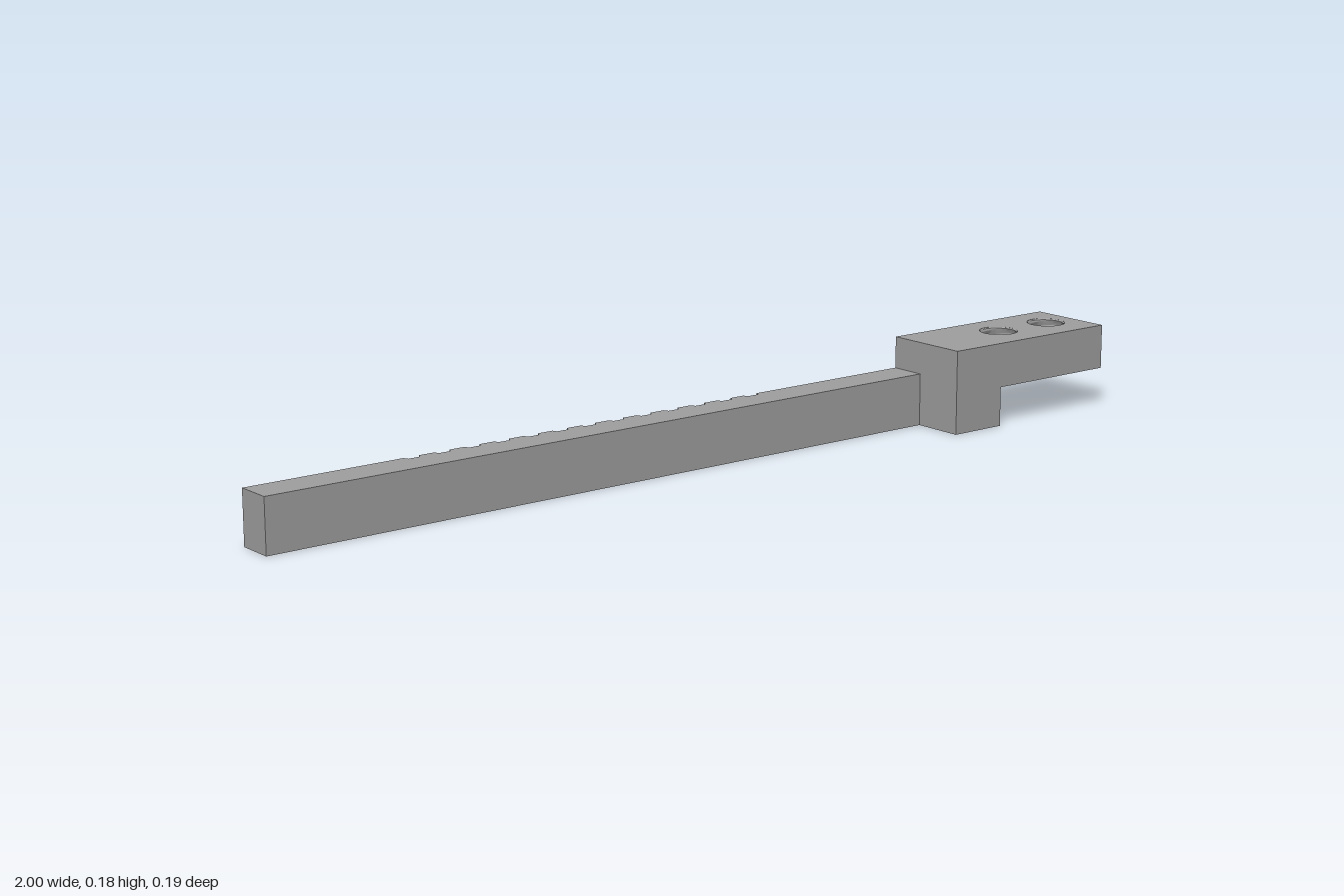
import * as THREE from 'three';
import { toCreasedNormals } from 'three/addons/utils/BufferGeometryUtils.js';

const BACK = -0.094, FRONT = 0.094;
const HEAD_X = 0.573, HEAD_BOTTOM = 0.083, HEAD_TOP = 0.177;
const HOLE_R = 0.04, THREAD_R = 0.036, HOLE_Z = -0.003;
const HOLES_X = [0.785, 0.927];

// Extrude a plan drawn in (x, -z) upwards from y0 to y1
function extrudeUp(shape, y0, y1) {
  const g = new THREE.ExtrudeGeometry(shape, { depth: y1 - y0, bevelEnabled: false, curveSegments: 32 });
  return g.rotateX(-Math.PI / 2).translate(0, y0, 0);
}

// Inward-facing bore wall with a helical thread
function threadedBore() {
  const height = HEAD_TOP - HEAD_BOTTOM, turns = 4;
  const g = new THREE.CylinderGeometry(1, 1, height, 48, 48, true);
  const p = g.attributes.position;
  for (let i = 0; i < p.count; i++) {
    const x = p.getX(i), y = p.getY(i), z = p.getZ(i);
    const t = y / height + 0.5;
    const phase = t * turns + Math.atan2(z, x) / (2 * Math.PI);
    const ridge = Math.abs(2 * (phase - Math.floor(phase)) - 1);
    const atRim = t < 0.001 || t > 0.999;
    const r = atRim ? HOLE_R : THREAD_R + (HOLE_R - THREAD_R) * ridge;
    p.setXYZ(i, -x * r, y, z * r); // mirrored so the wall faces inwards
  }
  return toCreasedNormals(g, 0.5);
}

export function createModel() {
  const group = new THREE.Group();
  const metal = new THREE.MeshStandardMaterial({ color: 0xa0a0a0 });
  metal.name = 'grey metal';
  const add = (name, geometry) => {
    const mesh = new THREE.Mesh(geometry, metal);
    mesh.name = name;
    group.add(mesh);
    return mesh;
  };

  // Long bar with a row of notches along its back edge
  const bar = new THREE.Shape();
  bar.moveTo(-1, 0.017);
  bar.lineTo(HEAD_X, 0.017);
  bar.lineTo(HEAD_X, -BACK);
  for (let i = 0; i < 13; i++) {
    const x = 0.174 - i * 0.068;
    bar.lineTo(x + 0.017, -BACK);
    bar.lineTo(x + 0.013, -BACK - 0.01);
    bar.lineTo(x - 0.013, -BACK - 0.01);
    bar.lineTo(x - 0.017, -BACK);
  }
  bar.lineTo(-1, -BACK);
  bar.closePath();
  add('notchedBar', extrudeUp(bar, 0, 0.11));

  // Raised head plate with two holes
  const plate = new THREE.Shape();
  plate.moveTo(HEAD_X, -FRONT);
  plate.lineTo(1, -FRONT);
  plate.lineTo(1, -BACK);
  plate.lineTo(HEAD_X, -BACK);
  plate.closePath();
  for (const x of HOLES_X) {
    const hole = new THREE.Path();
    hole.absarc(x, -HOLE_Z, HOLE_R + 0.0005, 0, Math.PI * 2, true);
    plate.holes.push(hole);
  }
  add('headPlate', extrudeUp(plate, HEAD_BOTTOM, HEAD_TOP));

  // Threads lining the holes
  for (const x of HOLES_X) {
    add('threadedHole', threadedBore()).position.set(x, (HEAD_TOP + HEAD_BOTTOM) / 2, HOLE_Z);
  }

  // Foot block under the inner end of the head
  const footWidth = 0.7 - HEAD_X;
  add('headFoot', new THREE.BoxGeometry(footWidth, HEAD_BOTTOM, FRONT - BACK))
    .position.set(HEAD_X + footWidth / 2, HEAD_BOTTOM / 2, 0);

  return group;
}
